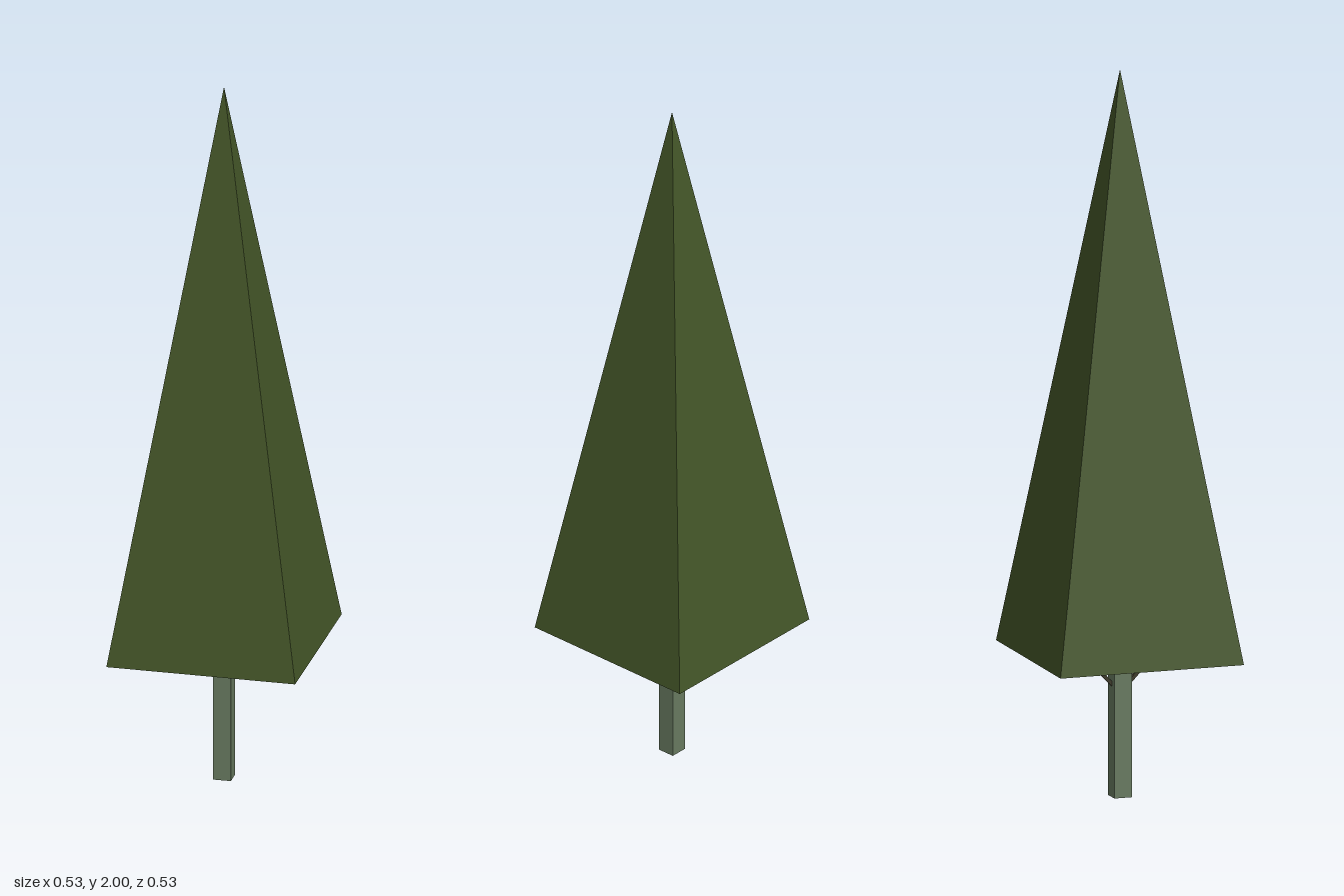
import * as THREE from 'three';

export function createModel() {
  const tree = new THREE.Group();
  tree.name = 'tree';

  const foliageGreen = new THREE.MeshStandardMaterial({ color: 0x435528, flatShading: true });
  foliageGreen.name = 'foliage green';
  const barkGrey = new THREE.MeshStandardMaterial({ color: 0x687a60, flatShading: true });
  barkGrey.name = 'bark grey green';
  const branchBrown = new THREE.MeshStandardMaterial({ color: 0x3c3a2a, flatShading: true });
  branchBrown.name = 'branch brown';

  const add = (name, geometry, material) => {
    const mesh = new THREE.Mesh(geometry, material);
    mesh.name = name;
    tree.add(mesh);
    return mesh;
  };

  // Four-sided crown, turned very slightly off square
  const base = 0.395, top = 2;
  const crown = add('crown',
    new THREE.ConeGeometry(0.37, top - base, 4, 1, false, Math.PI / 4 - 0.008), foliageGreen);
  crown.position.y = (base + top) / 2;

  // Square trunk
  const trunk = add('trunk', new THREE.BoxGeometry(0.05, 0.4, 0.05), barkGrey);
  trunk.position.y = 0.2;

  // Two thin branches rising from the trunk into the crown
  for (const side of [1, -1]) {
    const start = new THREE.Vector3(0, 0.305, side * 0.018);
    const end = new THREE.Vector3(0, 0.4, side * 0.11);
    const direction = end.clone().sub(start);
    const branch = add(side > 0 ? 'frontBranch' : 'backBranch',
      new THREE.BoxGeometry(0.01, direction.length(), 0.01), branchBrown);
    branch.position.copy(start).add(end).multiplyScalar(0.5);
    branch.quaternion.setFromUnitVectors(new THREE.Vector3(0, 1, 0), direction.normalize());
  }

  return tree;
}
